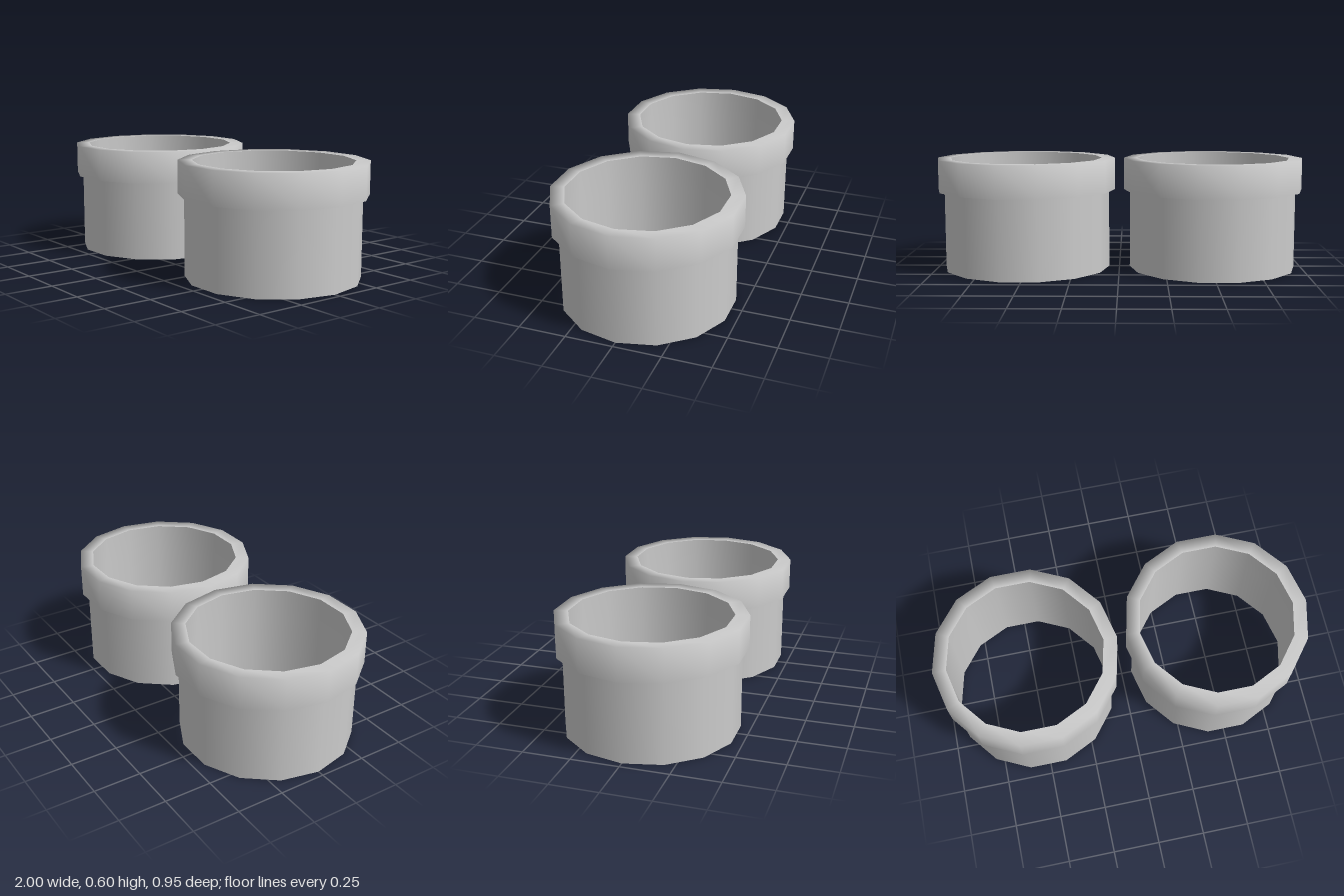
import * as THREE from 'three';

const SIDES = 14;

// Revolved band; a corner of the profile is rounded in shading, bands meet at hard edges
function band(name, profile, material) {
  const points = profile.map(([r, y]) => new THREE.Vector2(r, y));
  const mesh = new THREE.Mesh(
    new THREE.LatheGeometry(points, SIDES, Math.PI / 2), material);
  mesh.name = name;
  return mesh;
}

export function createModel() {
  const material = new THREE.MeshStandardMaterial({ color: 0xcccccc, side: THREE.DoubleSide });
  const model = new THREE.Group();
  model.name = 'ringPair';

  for (const side of [1, -1]) {
    const sleeve = new THREE.Group();
    sleeve.name = side > 0 ? 'leftSleeve' : 'rightSleeve';
    sleeve.position.x = side * 0.512;
    sleeve.add(
      // straight outer wall
      band('outerWall', [[0.455, 0], [0.455, 0.43]], material),
      // wide collar: softly shaded from its side over the top rim
      band('collar', [[0.488, 0.43], [0.488, 0.603], [0.415, 0.603]], material),
      band('collarUnderside', [[0.455, 0.43], [0.488, 0.43]], material),
      // open bore
      band('innerWall', [[0.415, 0.603], [0.42, 0.43], [0.425, 0.02]], material),
      // thin bottom edge with a small inner chamfer
      band('bottomLip', [[0.425, 0.02], [0.437, 0], [0.455, 0]], material),
    );
    model.add(sleeve);
  }
  return model;
}
